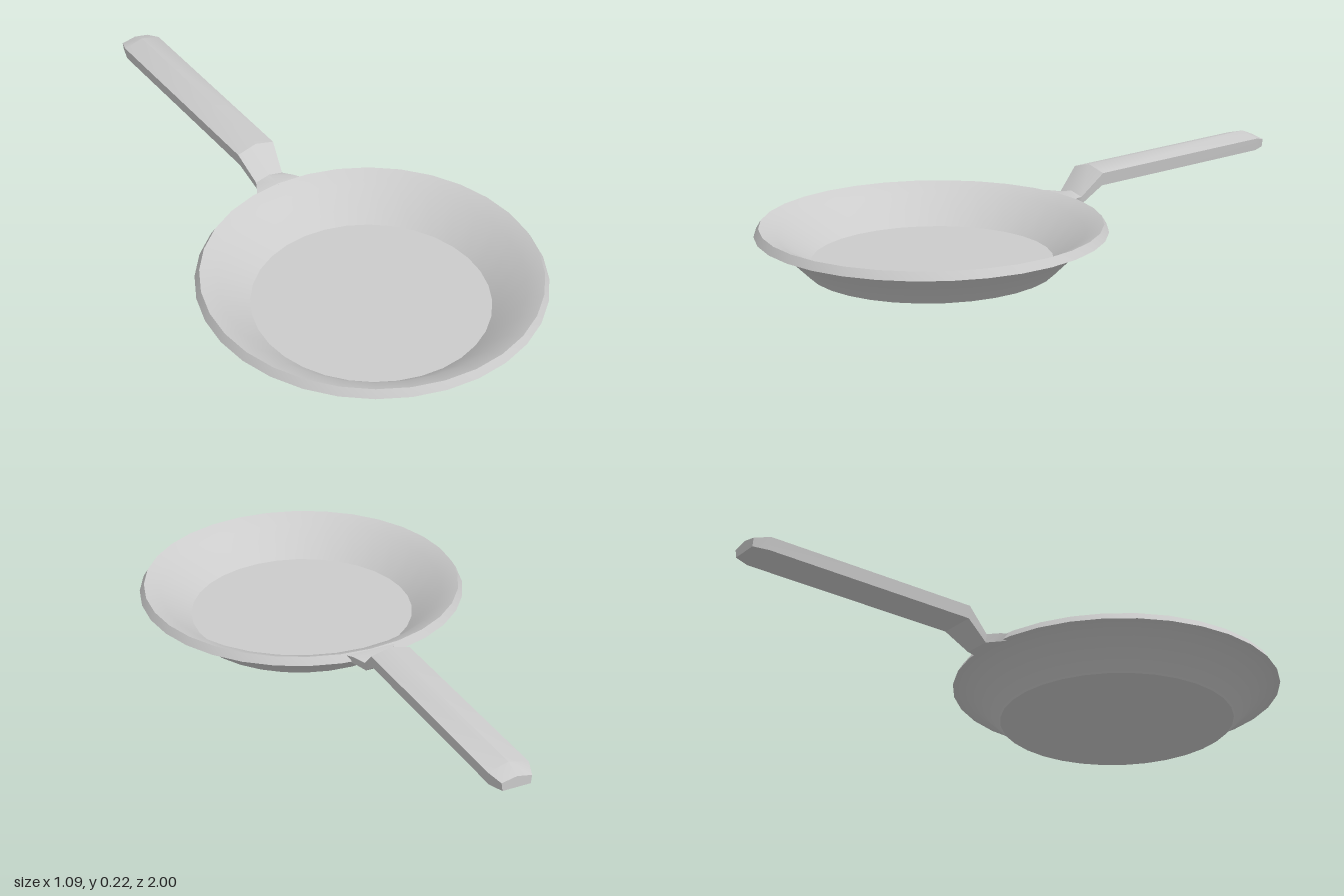
import * as THREE from 'three';
import { toCreasedNormals } from 'three/addons/utils/BufferGeometryUtils.js';

// Joins five-sided cross-sections [z, half width, bottom, shoulder, ridge] running towards -z
function loft(sections) {
  const pos = [], index = [], n = 5;
  for (const [z, w, bottom, shoulder, ridge] of sections) {
    const b = w * 0.92;
    pos.push(-b, bottom, z, b, bottom, z, w, shoulder, z, 0, ridge, z, -w, shoulder, z);
  }
  for (let s = 0; s < sections.length - 1; s++) {
    for (let i = 0; i < n; i++) {
      const a = s * n + i, b = s * n + (i + 1) % n;
      index.push(a, a + n, b + n, a, b + n, b);
    }
  }
  const e = (sections.length - 1) * n;
  for (let i = 1; i < n - 1; i++) {
    index.push(0, i, i + 1, e, e + i + 1, e + i);
  }
  const g = new THREE.BufferGeometry();
  g.setAttribute('position', new THREE.Float32BufferAttribute(pos, 3));
  g.setIndex(index);
  return g;
}

export function createModel() {
  const group = new THREE.Group();
  group.name = 'fryingPan';
  const material = new THREE.MeshStandardMaterial({ color: 0xcccccc });

  function add(name, geometry, crease) {
    const mesh = new THREE.Mesh(toCreasedNormals(geometry, crease), material);
    mesh.name = name;
    group.add(mesh);
    return mesh;
  }

  // Pan: underside, sloping wall, flared rim, then back down the inside
  const profile = [
    [0, 0], [0.387, 0], [0.49, 0.102], [0.545, 0.115], [0.53, 0.14],
    [0.475, 0.115], [0.375, 0.025], [0, 0.025],
  ].map(([r, y]) => new THREE.Vector2(r, y));
  add('pan', new THREE.LatheGeometry(profile, 32), 0.7).position.z = 0.455;

  // Handle: flared root at the rim, narrow neck, upward step, long grip, tapered tip
  add('handle', loft([
    [-0.07, 0.085, 0.112, 0.134, 0.138],
    [-0.09, 0.072, 0.108, 0.135, 0.139],
    [-0.13, 0.05, 0.1, 0.128, 0.14],
    [-0.21, 0.067, 0.155, 0.197, 0.215],
    [-0.95, 0.067, 0.155, 0.197, 0.215],
    [-1, 0.05, 0.158, 0.185, 0.195],
  ]), 0.55);

  return group;
}
